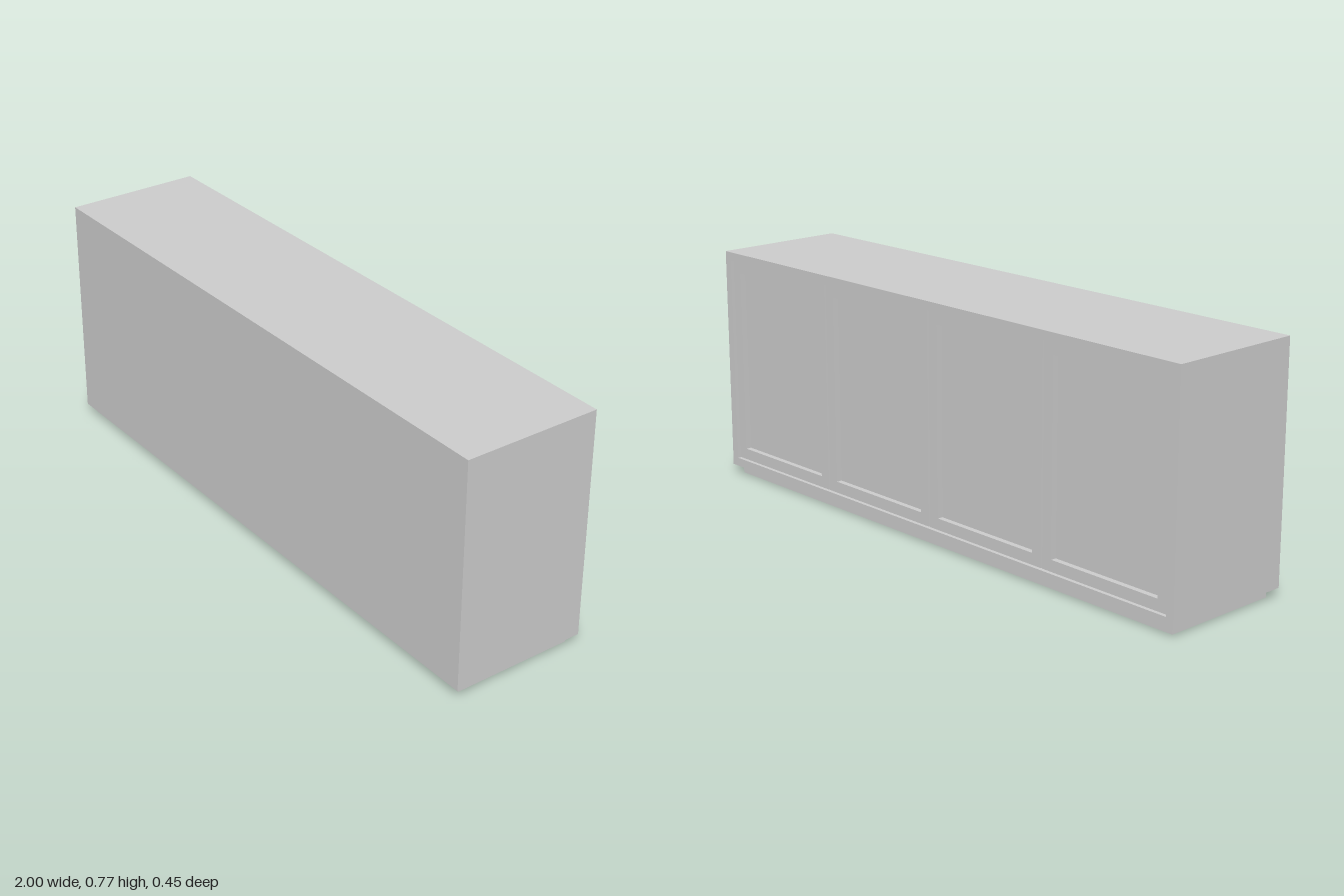
import * as THREE from 'three';

const material = new THREE.MeshStandardMaterial({ color: 0xcccccc });

function addBox(parent, name, w, h, d, x, y, z) {
  const mesh = new THREE.Mesh(new THREE.BoxGeometry(w, h, d), material);
  mesh.name = name;
  mesh.position.set(x, y, z);
  parent.add(mesh);
}

// Rectangular frame with one opening, extruded from z0 towards +z
function addFrame(parent, name, w, h, border, depth, x, y, z0) {
  const rect = (Type, a, b) => new Type([
    new THREE.Vector2(-a, -b), new THREE.Vector2(a, -b),
    new THREE.Vector2(a, b), new THREE.Vector2(-a, b),
  ]);
  const shape = rect(THREE.Shape, w / 2, h / 2);
  shape.holes.push(rect(THREE.Path, w / 2 - border, h / 2 - border));
  const mesh = new THREE.Mesh(
    new THREE.ExtrudeGeometry(shape, { depth, bevelEnabled: false }), material);
  mesh.name = name;
  mesh.position.set(x, y, z0);
  parent.add(mesh);
}

export function createModel() {
  const cabinet = new THREE.Group();
  cabinet.name = 'sideboard';

  const bottom = 0.03, height = 0.74, depth = 0.45, wall = 0.028;
  const midY = bottom + height / 2;
  const zBack = -depth / 2;

  // Plinth, set in on every side
  addBox(cabinet, 'plinth', 1.95, bottom, 0.4, 0, bottom / 2, 0);

  // Carcass: surround open towards -z, closed by a board at +z
  const board = 0.025;
  addFrame(cabinet, 'carcass', 2, height, wall, depth - board, 0, midY, zBack);
  addBox(cabinet, 'closingBoard', 2, height, board, 0, midY, depth / 2 - board / 2);

  // Four framed doors with recessed panels, facing -z
  const count = 4, gap = 0.005, recess = 0.008, thick = 0.03;
  const pitch = (2 - 2 * wall) / count;
  const doorW = pitch - gap, doorH = height - 2 * wall - gap, rail = 0.037;
  for (let i = 0; i < count; i++) {
    const door = new THREE.Group();
    door.name = `door${i + 1}`;
    door.position.set((i - (count - 1) / 2) * pitch, midY, zBack + recess);
    addFrame(door, 'doorFrame', doorW, doorH, rail, thick, 0, 0, 0);
    addBox(door, 'doorPanel', doorW - 2 * rail, doorH - 2 * rail, 0.01, 0, 0, 0.023);
    cabinet.add(door);
  }
  return cabinet;
}
